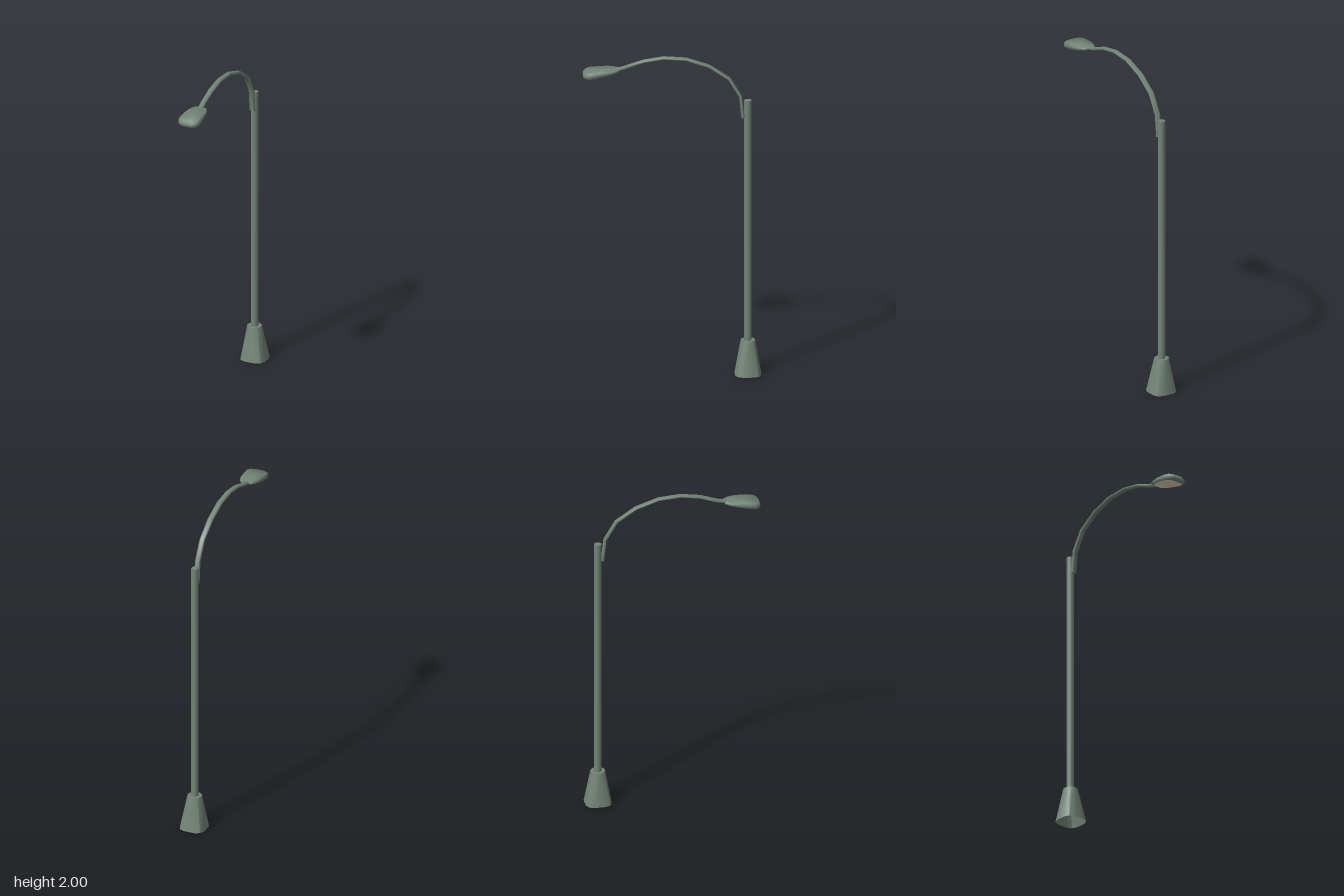
import * as THREE from 'three';
import { toCreasedNormals } from 'three/addons/utils/BufferGeometryUtils.js';

const V = (x, y, z) => new THREE.Vector3(x, y, z);

// Skin a list of equal-length rings; caps are fans round the ring centre, sharp edges stay creased.
function loft(rings, capStart, capEnd, crease) {
  const pos = [];
  const tri = (...pts) => pts.forEach((p) => pos.push(p.x, p.y, p.z));
  const n = rings[0].length;
  for (let r = 0; r < rings.length - 1; r++) {
    const a = rings[r], b = rings[r + 1];
    for (let i = 0; i < n; i++) {
      const j = (i + 1) % n;
      tri(a[i], a[j], b[j]);
      tri(a[i], b[j], b[i]);
    }
  }
  const cap = (ring, flip) => {
    const c = ring.reduce((s, p) => s.add(p), V(0, 0, 0)).divideScalar(n);
    for (let i = 0; i < n; i++) {
      const j = (i + 1) % n;
      if (flip) tri(c, ring[j], ring[i]);
      else tri(c, ring[i], ring[j]);
    }
  };
  if (capStart) cap(rings[0], true);
  if (capEnd) cap(rings[rings.length - 1], false);
  const g = new THREE.BufferGeometry();
  g.setAttribute('position', new THREE.Float32BufferAttribute(pos, 3));
  return toCreasedNormals(g, crease);
}

export function createModel() {
  const group = new THREE.Group();
  const paint = new THREE.MeshStandardMaterial({ color: 0x738477, side: THREE.DoubleSide });
  paint.name = 'grey green paint';
  const glass = new THREE.MeshStandardMaterial({ color: 0xf0e4cf, side: THREE.DoubleSide });
  glass.name = 'cream lens';
  const add = (name, geometry, material) => {
    const mesh = new THREE.Mesh(geometry, material);
    mesh.name = name;
    group.add(mesh);
  };

  const poleX = -0.003, poleZ = -0.449;

  // Base: rounded square foot tapering to a round collar, open underneath
  const foot = [], collar = [];
  for (let i = 0; i < 12; i++) {
    const a = ((i + 0.5) * Math.PI) / 6;
    const c = Math.cos(a), s = Math.sin(a);
    const square = (v) => Math.sign(v) * Math.pow(Math.abs(v), 0.62) * 0.08;
    foot.push(V(square(c), 0, poleZ - square(s)));
    collar.push(V(poleX + c * 0.044, 0.21, poleZ - s * 0.044));
  }
  add('base', loft([foot, collar], false, true, 0.55), paint);

  // Pole
  const pole = new THREE.CylinderGeometry(0.022, 0.022, 1.52, 12);
  pole.translate(poleX, 0.96, poleZ);
  add('pole', pole, paint);

  // Arm: flattened tube curving up and over, kinking sideways into the lamp
  const path = [
    [poleX, 1.61, -0.42], [poleX, 1.745, -0.405], [poleX, 1.857, -0.337],
    [poleX, 1.935, -0.22], [poleX, 1.981, -0.083], [poleX, 1.99, 0.05],
    [poleX, 1.971, 0.167], [poleX, 1.934, 0.275], [0.004, 1.921, 0.33],
  ].map((p) => V(...p));
  const armRings = path.map((p, i) => {
    const t = path[Math.min(i + 1, path.length - 1)].clone().sub(path[Math.max(i - 1, 0)]);
    t.x = 0;
    t.normalize();
    const v = t.clone().cross(V(1, 0, 0));
    return Array.from({ length: 8 }, (_, k) => {
      const a = ((k + 0.5) * Math.PI) / 4;
      return p.clone().add(V(Math.cos(a) * 0.018, 0, 0)).addScaledVector(v, Math.sin(a) * 0.0103);
    });
  });
  add('arm', loft(armRings, true, true, 1.1), paint);

  // Lamp head: plan outline stacked in layers, drooping and thickening to the front
  const lampX = 0.004, lampZ = 0.42;
  const half = [
    [0.032, 0.527], [0.058, 0.513], [0.068, 0.492], [0.066, 0.44],
    [0.06, 0.38], [0.05, 0.345], [0.032, 0.315],
  ];
  const outline = [...half, ...half.map(([x, z]) => [-x, z]).reverse()];
  const layer = (scale, height, drop = 0) => outline.map(([x, z0]) => {
    const z = lampZ + (z0 - lampZ) * scale;
    const f = (z - 0.315) / 0.21;
    const bottom = 1.914 - 0.04 * f;
    const top = 1.93 - 0.016 * f * f;
    return V(lampX + x * scale, bottom + (top - bottom) * height - drop, z);
  });
  add('lampHead', loft([layer(0.9, 0), layer(1, 0.3), layer(1, 0.7), layer(0.91, 1)], true, true, 1.1), paint);

  // Lens: thin plate under the lamp head
  add('lens', loft([layer(0.84, 0, 0.002), layer(0.87, 0, -0.001)], true, false, 0.8), glass);

  return group;
}
